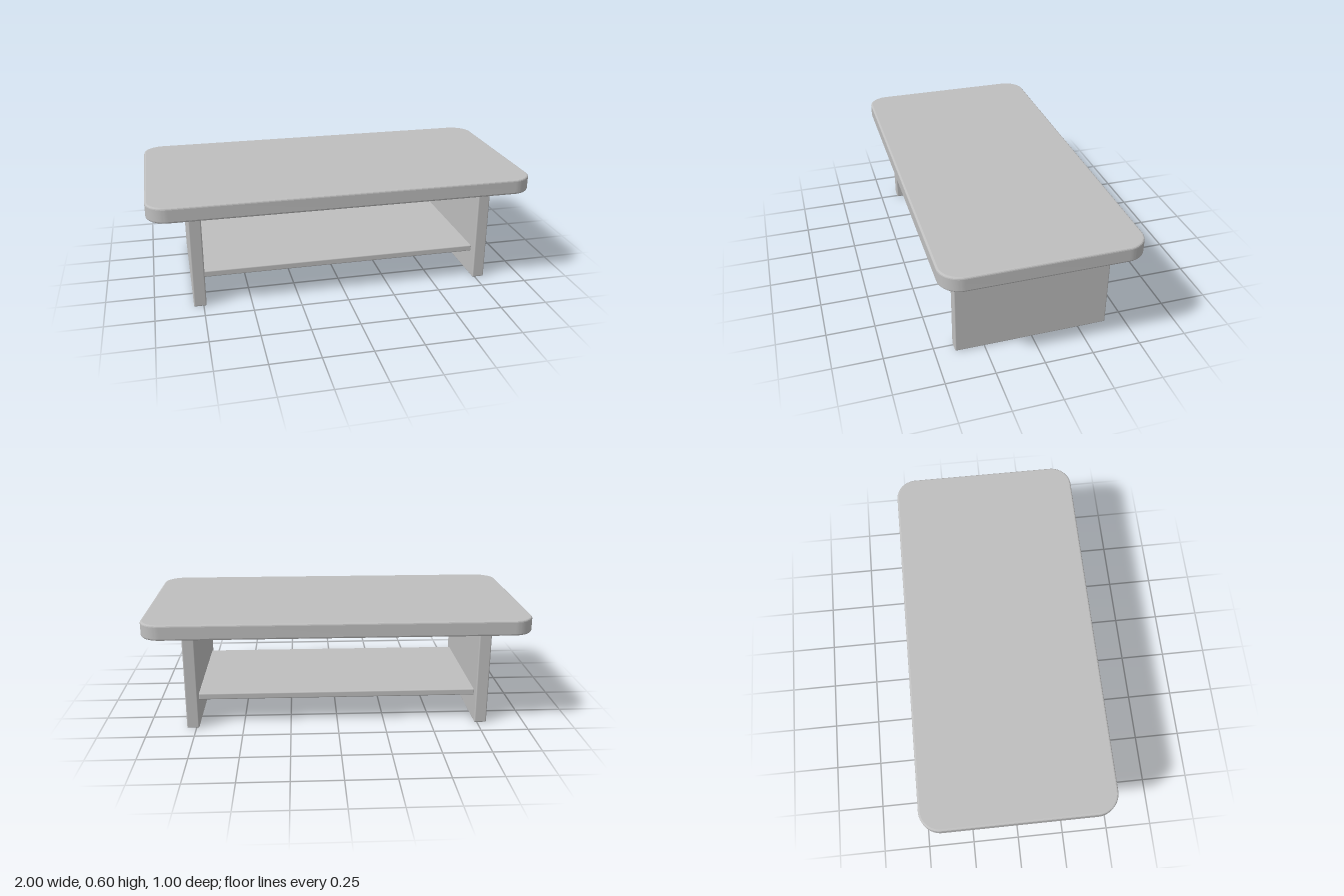
import * as THREE from 'three';
import { toCreasedNormals } from 'three/addons/utils/BufferGeometryUtils.js';
import { RoundedBoxGeometry } from 'three/addons/geometries/RoundedBoxGeometry.js';

const grey = new THREE.MeshStandardMaterial({ color: 0xbfbfbf });
grey.name = 'light grey';

function addPart(group, name, geometry, x, y, z) {
  const mesh = new THREE.Mesh(geometry, grey);
  mesh.name = name;
  mesh.position.set(x, y, z);
  group.add(mesh);
}

// Horizontal slab with rounded corners in plan and softened edges, base at y = 0
function roundedSlab(width, depth, height, radius, bevel) {
  const w = width / 2 - bevel, d = depth / 2 - bevel, r = radius - bevel;
  const shape = new THREE.Shape();
  shape.absarc(w - r, d - r, r, 0, Math.PI / 2);
  shape.absarc(r - w, d - r, r, Math.PI / 2, Math.PI);
  shape.absarc(r - w, r - d, r, Math.PI, Math.PI * 1.5);
  shape.absarc(w - r, r - d, r, Math.PI * 1.5, Math.PI * 2);
  const geometry = new THREE.ExtrudeGeometry(shape, {
    depth: height - 2 * bevel, curveSegments: 12,
    bevelThickness: bevel, bevelSize: bevel, bevelSegments: 3,
  });
  geometry.translate(0, 0, bevel).rotateX(-Math.PI / 2);
  return toCreasedNormals(geometry, 0.2);
}

export function createModel() {
  const table = new THREE.Group();
  table.name = 'coffeeTable';

  addPart(table, 'tableTop', roundedSlab(2, 1, 0.08, 0.11, 0.01), 0, 0.52, 0);

  // Side panels that carry the top
  for (const [name, side] of [['leftPanel', 1], ['rightPanel', -1]]) {
    addPart(table, name, new RoundedBoxGeometry(0.065, 0.52, 0.8, 3, 0.007), side * 0.7675, 0.26, 0);
  }

  // Lower shelf spanning between the panels
  addPart(table, 'shelf', new RoundedBoxGeometry(1.475, 0.034, 0.7, 3, 0.006), 0, 0.157, 0);

  return table;
}
